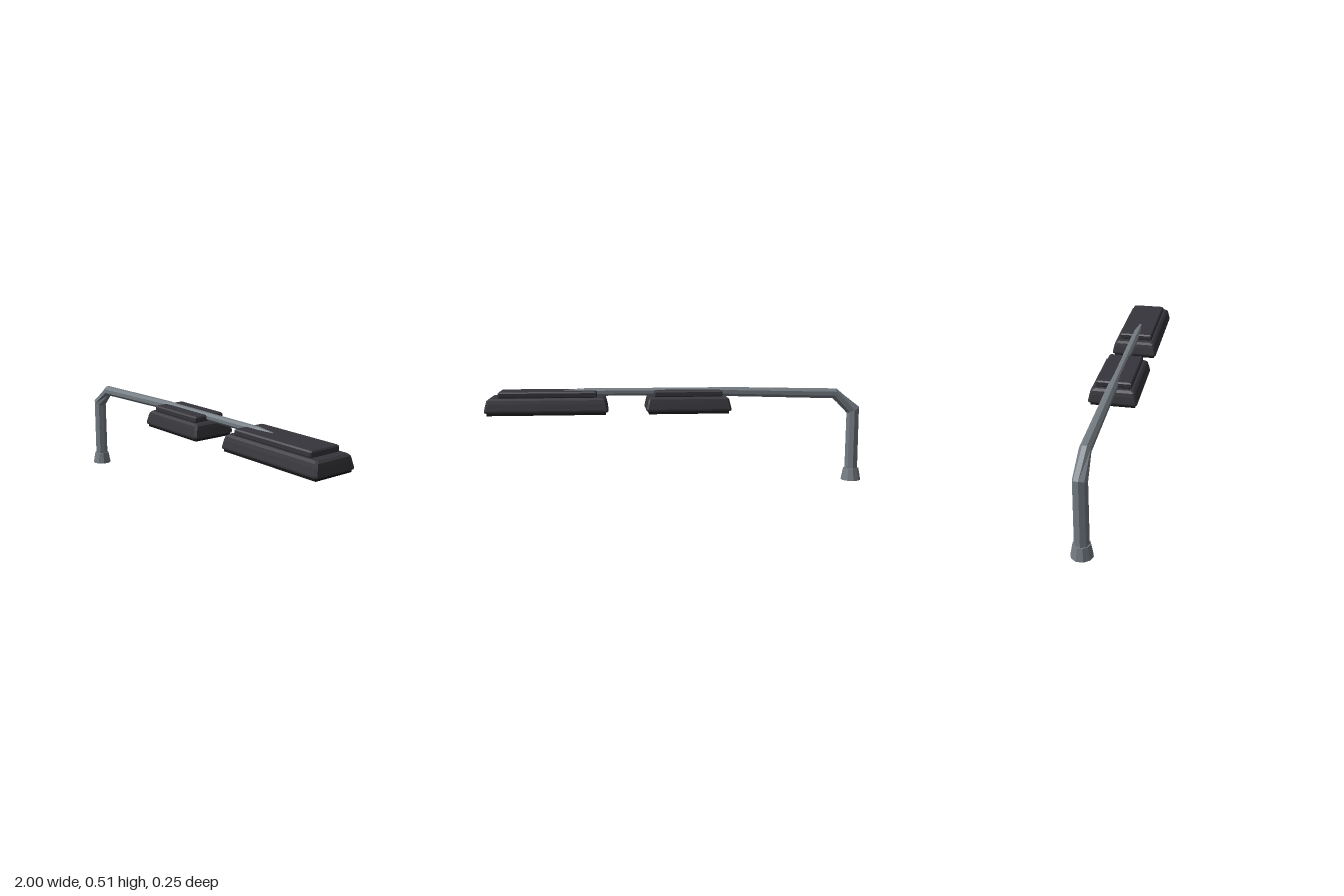
import * as THREE from 'three';

const metal = new THREE.MeshStandardMaterial({ color: 0x737b82, flatShading: true });
const dark = new THREE.MeshStandardMaterial({ color: 0x36353b, flatShading: true });
const lensMat = new THREE.MeshStandardMaterial({ color: 0x151515, flatShading: true });

// Skin a stack of equal-length rings of points and cap both ends
function loft(rings) {
  const n = rings[0].length, pos = [], idx = [];
  rings.forEach(r => r.forEach(p => pos.push(...p)));
  for (let k = 0; k < rings.length - 1; k++) {
    for (let i = 0; i < n; i++) {
      const a = k * n + i, b = k * n + (i + 1) % n;
      idx.push(a, b, b + n, a, b + n, a + n);
    }
  }
  const top = (rings.length - 1) * n;
  for (let i = 1; i < n - 1; i++) {
    idx.push(0, i + 1, i, top, top + i, top + i + 1);
  }
  const g = new THREE.BufferGeometry();
  g.setAttribute('position', new THREE.Float32BufferAttribute(pos, 3));
  g.setIndex(idx);
  const flat = g.toNonIndexed();
  flat.computeVertexNormals();
  return flat;
}

// Rectangle with clipped corners at height y
function clippedRect(hx, hz, y, c) {
  return [
    [hx, hz - c], [hx - c, hz], [c - hx, hz], [-hx, hz - c],
    [-hx, c - hz], [c - hx, -hz], [hx - c, -hz], [hx, c - hz],
  ].map(([x, s]) => [x, y, -s]);
}

// Eight-sided ring across the pole; angle is the heading in the xy plane
function pipeRing([x, y, r, degrees, stretch, phase]) {
  const t = THREE.MathUtils.degToRad(degrees);
  return Array.from({ length: 8 }, (_, i) => {
    const a = (i + phase) * Math.PI / 4;
    const u = r * stretch * Math.cos(a), v = r * Math.sin(a);
    return [x + u * Math.sin(t), y - u * Math.cos(t), -v];
  });
}

function mesh(name, geometry, material) {
  const m = new THREE.Mesh(geometry, material);
  m.name = name;
  return m;
}

// One lamp head: lens underneath, sloped housing, raised lid
function lampHead(name, x, hx, lidX, lidHalf) {
  const head = new THREE.Group();
  head.name = name;
  head.position.x = x;
  const hz = 0.124;
  // inset from the full outline, height
  const housing = [[0.009, 0.398], [0.001, 0.403], [0, 0.411], [0.007, 0.444], [0.012, 0.463], [0.025, 0.473]]
    .map(([d, y]) => clippedRect(hx - d, hz - d, y, 0.009));
  const lid = [[0.004, 0.47], [0, 0.478], [0, 0.497], [0.006, 0.504]]
    .map(([d, y]) => clippedRect(lidHalf - d, 0.091 - d, y, 0.005));
  const lidMesh = mesh('lid', loft(lid), dark);
  lidMesh.position.x = lidX - x;
  const lens = mesh('lens', new THREE.BoxGeometry(2 * (hx - 0.012), 0.014, 0.226), lensMat);
  lens.position.y = 0.394;
  head.add(mesh('housing', loft(housing), dark), lidMesh, lens);
  return head;
}

export function createModel() {
  const model = new THREE.Group();
  model.name = 'streetLamp';

  // Flared foot
  const foot = mesh('foot', new THREE.CylinderGeometry(0.041, 0.053, 0.065, 10), metal);
  foot.position.set(-0.945, 0.0325, 0);

  // Upright, elbow and tapering arm: x, y, radius, heading, mitre, phase
  const pipe = [
    [-0.945, 0.02, 0.036, 90, 1, 0],
    [-0.945, 0.385, 0.035, 65.5, 1.08, 0],
    [-0.84, 0.475, 0.028, 21, 1.06, 0.5],
    [-0.22, 0.491, 0.025, 1, 1, 0.5],
    [-0.13, 0.493, 0.021, 0, 1, 0.5],
    [0.50, 0.494, 0.021, 0, 1, 0.5],
    [0.63, 0.493, 0.010, 0, 1, 0.5],
  ];
  model.add(foot, mesh('poleAndArm', loft(pipe.map(pipeRing)), metal));

  model.add(
    lampHead('innerLampHead', -0.04, 0.22, -0.04, 0.176),
    lampHead('outerLampHead', 0.688, 0.312, 0.684, 0.25),
  );
  return model;
}
